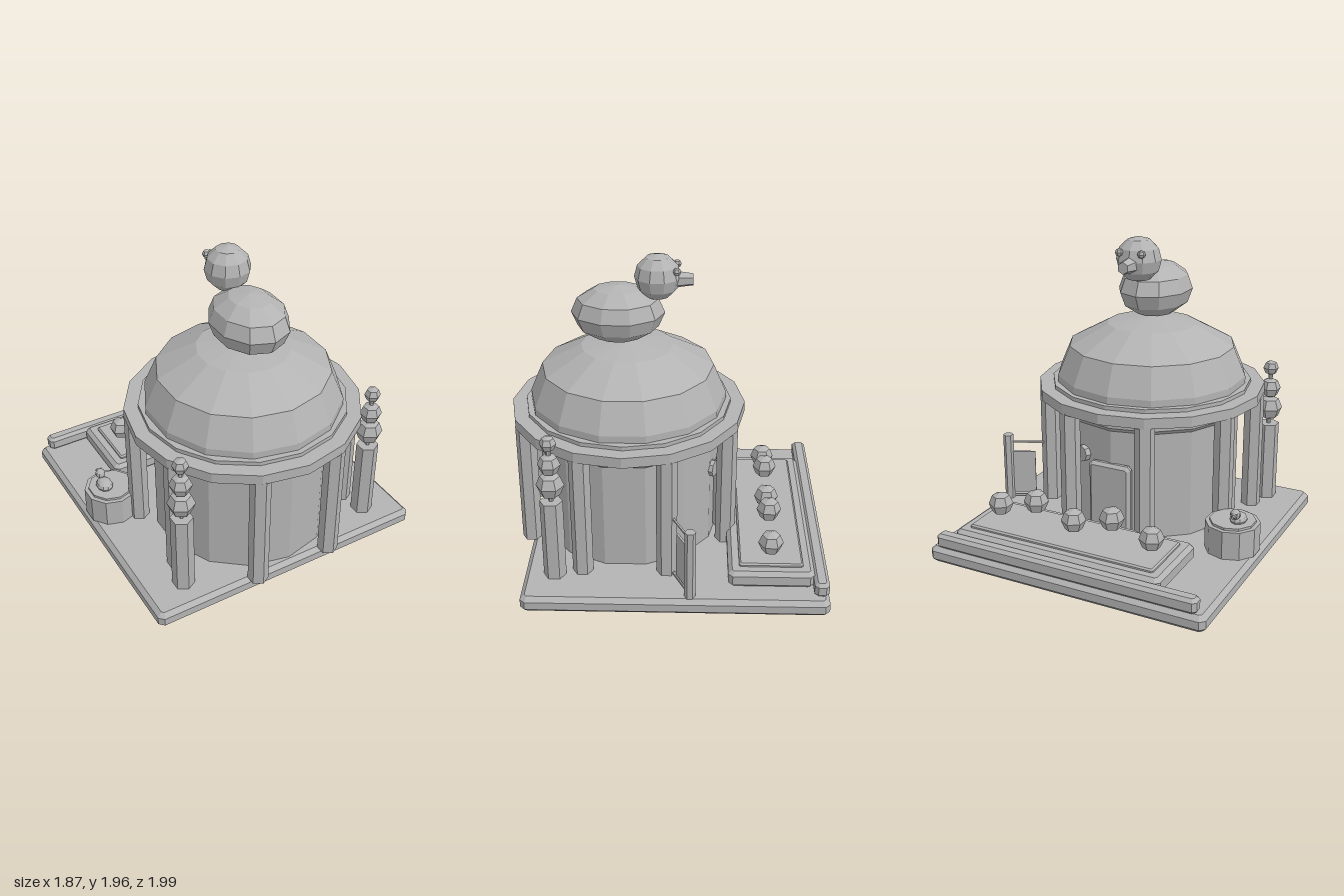
import * as THREE from 'three';

const stone = new THREE.MeshStandardMaterial({ color: 0xb3b3b3, flatShading: true });
stone.name = 'stone grey';

function add(parent, name, geometry, x = 0, y = 0, z = 0) {
  const mesh = new THREE.Mesh(geometry, stone);
  mesh.name = name;
  mesh.position.set(x, y, z);
  parent.add(mesh);
  return mesh;
}

// Upright prism standing on y = 0
function prism(rTop, rBottom, height, sides) {
  return new THREE.CylinderGeometry(rTop, rBottom, height, sides).translate(0, height / 2, 0);
}

// Low-poly ball with corners on the z axis
function ball(r, sides, rings) {
  return new THREE.SphereGeometry(r, sides, rings).rotateY(Math.PI / 2);
}

// Slab with chamfered edges and corners, standing on y = 0
function slab(width, height, depth, bevel) {
  const a = width / 2 - bevel, b = depth / 2 - bevel, c = bevel * 0.5;
  const pts = [[a, b - c], [a - c, b], [c - a, b], [-a, b - c], [-a, c - b], [c - a, -b], [a - c, -b], [a, c - b]];
  const shape = new THREE.Shape(pts.map(p => new THREE.Vector2(...p)));
  return new THREE.ExtrudeGeometry(shape, {
    depth: height - 2 * bevel, bevelEnabled: true, bevelSegments: 1, bevelSize: bevel, bevelThickness: bevel,
  }).rotateX(-Math.PI / 2).translate(0, bevel, 0);
}

// Bird standing on y = 0, facing -z
function makeBird(name) {
  const bird = new THREE.Group();
  bird.name = name;
  add(bird, 'birdBody', ball(1, 10, 6).scale(0.232, 0.18, 0.29), 0, 0.18, 0);
  add(bird, 'birdHead', ball(0.143, 10, 6), 0, 0.413, -0.245);
  add(bird, 'beak', new THREE.CylinderGeometry(0.038, 0.055, 0.12, 6).rotateX(-Math.PI / 2), 0, 0.395, -0.4);
  for (const s of [-1, 1]) add(bird, 'eye', ball(0.026, 6, 4), s * 0.076, 0.468, -0.362);
  return bird;
}

export function createModel() {
  const model = new THREE.Group();
  model.name = 'domedPavilion';

  // Ground slab, rear kerb and raised terrace
  add(model, 'base', slab(1.87, 0.107, 1.87, 0.028), 0, 0, -0.065);
  add(model, 'rearKerb', slab(1.76, 0.095, 0.09, 0.02), 0, 0.105, -0.95);
  add(model, 'terrace', slab(1.41, 0.11, 0.525, 0.025), 0.09, 0.105, -0.65);
  add(model, 'terracePanel', slab(1.27, 0.035, 0.39, 0.01), 0.09, 0.2, -0.65);

  // Alternating high and low balls over the terrace
  for (let i = 0; i < 5; i++) {
    add(model, 'terraceBall', ball(0.078, 6, 4), -0.443 + i * 0.265, i % 2 ? 0.393 : 0.322, -0.65);
  }

  // Round building
  const hall = new THREE.Group();
  hall.name = 'hall';
  hall.position.z = 0.25;
  model.add(hall);
  const wall = [[0.58, 0.1], [0.58, 0.81], [0.6, 0.835], [0.6, 0.915]];
  add(hall, 'wall', new THREE.LatheGeometry(wall.map(p => new THREE.Vector2(...p)), 14));
  for (let i = 0; i < 8; i++) {
    const t = (i + 0.5) * Math.PI / 4;
    add(hall, 'column', prism(0.064, 0.064, 0.81, 6), Math.sin(t) * 0.68, 0.105, Math.cos(t) * 0.68);
  }
  add(hall, 'eave', prism(0.742, 0.742, 0.067, 16), 0, 0.908, 0);
  add(hall, 'domeRing', prism(0.652, 0.652, 0.027, 16), 0, 0.973, 0);
  const dome = [[0.62, 0.99], [0.62, 1.045], [0.54, 1.235], [0.29, 1.37], [0, 1.412]];
  add(hall, 'dome', new THREE.LatheGeometry(dome.map(p => new THREE.Vector2(...p)), 14));

  // Rear door and round wall plaques
  add(hall, 'door', slab(0.29, 0.06, 0.49, 0.02).rotateX(-Math.PI / 2), 0, 0.35, -0.55);
  for (const s of [-1, 1]) {
    const plaque = add(hall, 'plaque', new THREE.CylinderGeometry(0.055, 0.055, 0.05, 8).rotateX(Math.PI / 2),
      s * 0.215, 0.61, -0.535);
    plaque.rotation.y = -s * 0.38;
  }

  // Large bird on the dome
  const bird = makeBird('roofBird');
  bird.position.set(0, 1.403, 0.305);
  model.add(bird);

  // Front posts with stacked balls
  for (const s of [-1, 1]) {
    const post = new THREE.Group();
    post.name = 'frontPost';
    post.position.set(s * 0.675, 0, 0.68);
    model.add(post);
    add(post, 'postShaft', prism(0.07, 0.07, 0.535, 6), 0, 0.105, 0);
    add(post, 'postCore', prism(0.014, 0.014, 0.4, 6), 0, 0.62, 0);
    for (const [y, r] of [[0.75, 0.086], [0.89, 0.07], [1.03, 0.051]]) add(post, 'postBall', ball(r, 6, 4), 0, y, 0);
  }

  // Round basin with a small bird
  add(model, 'basin', prism(0.172, 0.172, 0.185, 10), -0.76, 0.105, -0.155);
  add(model, 'basinTop', prism(0.145, 0.145, 0.017, 10), -0.76, 0.288, -0.155);
  const chick = makeBird('basinBird');
  chick.scale.setScalar(0.23);
  chick.position.set(-0.8, 0.276, -0.162);
  model.add(chick);

  // Side gate running out from the hall to its post
  const gate = new THREE.Group();
  gate.name = 'gate';
  gate.position.set(0.88, 0, -0.155);
  gate.rotation.y = 0.45;
  model.add(gate);
  const gatePost = add(gate, 'gatePost', prism(0.034, 0.034, 0.565, 6), 0, 0.003, 0);
  gatePost.rotation.y = -0.45;
  add(gate, 'gatePanel', new THREE.BoxGeometry(0.16, 0.3, 0.014), -0.1, 0.295, 0);
  add(gate, 'gateRail', new THREE.BoxGeometry(0.24, 0.012, 0.012), -0.12, 0.515, 0);
  add(gate, 'gateLowerRail', new THREE.BoxGeometry(0.24, 0.014, 0.012), -0.12, 0.122, 0);

  return model;
}
